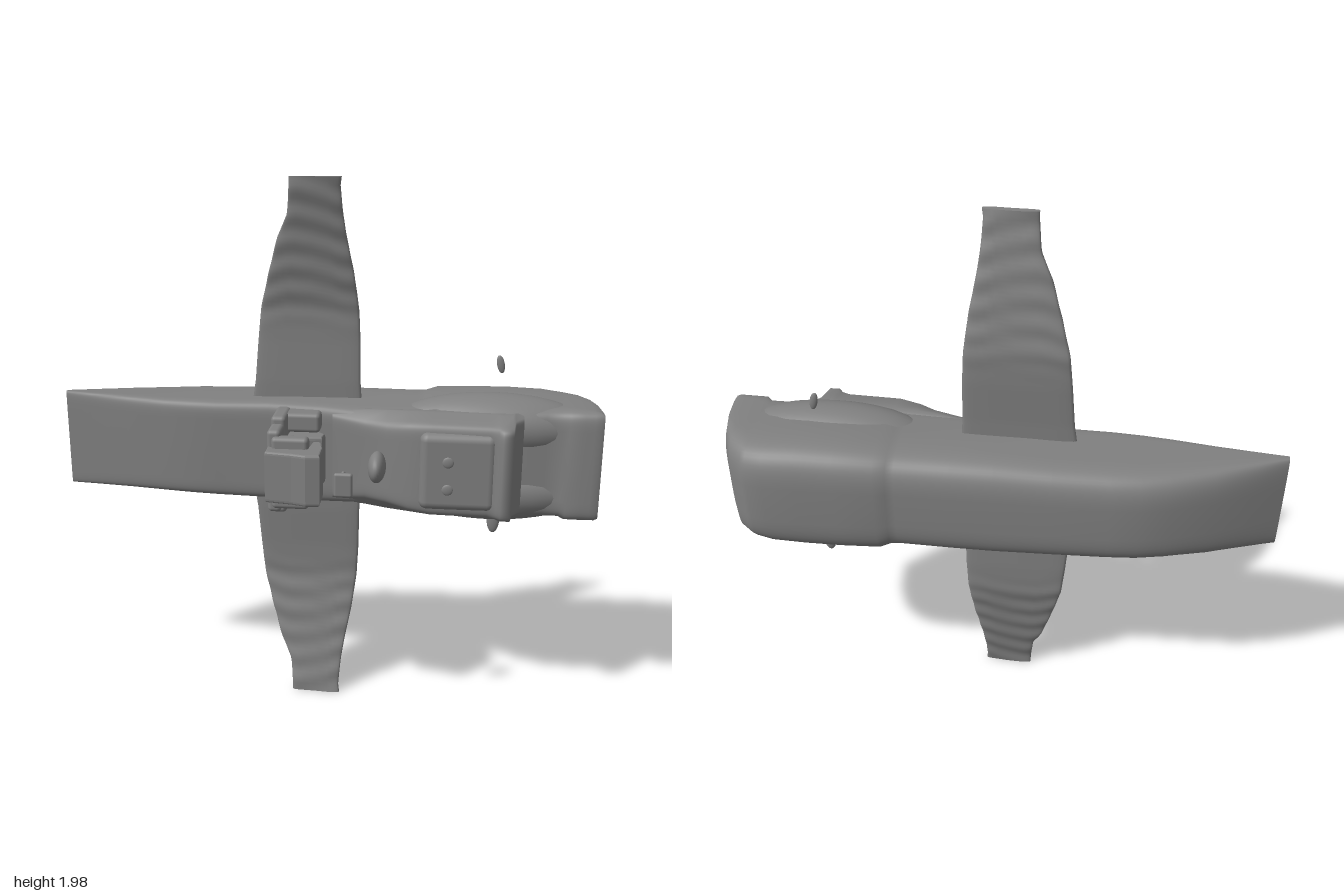
import * as THREE from 'three';
import { RoundedBoxGeometry } from 'three/addons/geometries/RoundedBoxGeometry.js';

const grey = new THREE.MeshStandardMaterial({ color: 0x808080 });

// Skin a list of rings (equal point counts) and close both ends.
function loft(rings) {
  const n = rings[0].length, pos = [], idx = [];
  rings.forEach(r => r.forEach(p => pos.push(...p)));
  for (let i = 0; i < rings.length - 1; i++) {
    for (let j = 0; j < n; j++) {
      const a = i * n + j, b = i * n + (j + 1) % n;
      idx.push(a, b, a + n, b, b + n, a + n);
    }
  }
  [rings[0], rings[rings.length - 1]].forEach((r, end) => {
    const base = pos.length / 3;
    r.forEach(p => pos.push(...p));
    pos.push(...[0, 1, 2].map(k => r.reduce((s, p) => s + p[k], 0) / n));
    for (let j = 0; j < n; j++) {
      const a = base + j, b = base + (j + 1) % n;
      idx.push(...(end ? [a, b, base + n] : [b, a, base + n]));
    }
  });
  const g = new THREE.BufferGeometry();
  g.setAttribute('position', new THREE.Float32BufferAttribute(pos, 3));
  g.setIndex(idx);
  g.computeVertexNormals();
  return g;
}

const spow = (v, e) => Math.sign(v) * Math.pow(Math.abs(v), e);

// Rounded section across x: soft at the back, crisp and slightly narrowed at the front.
function section([x, zb, zf, h, taper = 0], n = 56) {
  return Array.from({ length: n }, (_, j) => {
    const a = j / n * Math.PI * 2, s = Math.sin(a), e = s > 0 ? 0.2 : 0.5;
    const v = spow(s, e);
    return [x, 1 + h * spow(Math.cos(a), e) * (1 - taper * Math.max(0, v)), (zb + zf) / 2 + v * (zf - zb) / 2];
  });
}

// Tapered fin, bent forward, with curved ripples towards its tip; dir is +1 up, -1 down.
function fin(dir) {
  const keys = [ // height from the axis, x min, x max, z
    [0.1, -0.285, 0.14, -0.1], [0.25, -0.262, 0.13, -0.1], [0.4, -0.25, 0.128, -0.105],
    [0.52, -0.238, 0.122, -0.105], [0.65, -0.205, 0.105, -0.083], [0.78, -0.168, 0.08, -0.06],
    [0.86, -0.13, 0.068, -0.043], [0.96, -0.12, 0.06, -0.022], [0.99, -0.12, 0.065, -0.018]];
  const rings = [], rows = 60;
  for (let i = 0; i <= rows; i++) {
    const d = 0.1 + 0.89 * i / rows;
    let k = 0;
    while (k < keys.length - 2 && d > keys[k + 1][0]) k++;
    const t = (d - keys[k][0]) / (keys[k + 1][0] - keys[k][0]);
    const [x0, x1, z] = [1, 2, 3].map(m => THREE.MathUtils.lerp(keys[k][m], keys[k + 1][m], t));
    const depth = 0.003 * THREE.MathUtils.smoothstep(d, 0.4, 0.6);
    rings.push(Array.from({ length: 28 }, (_, j) => {
      const a = j / 28 * Math.PI * 2;
      const x = (x0 + x1) / 2 + (x1 - x0) / 2 * spow(Math.sin(a), 0.5);
      const ripple = depth * Math.sin(d * 70 + 1.8 * Math.sin(x * 16));
      return [x, 1 + dir * d, z + ripple + 0.012 * spow(Math.cos(a), 0.5)];
    }));
  }
  return loft(dir > 0 ? rings : rings.reverse());
}

export function createModel() {
  const model = new THREE.Group();
  const add = (name, geo, x = 0, y = 0, z = 0) => {
    const m = new THREE.Mesh(geo, grey);
    m.name = name;
    m.position.set(x, y, z);
    model.add(m);
  };
  const box = (name, x0, x1, y0, y1, z0, z1, r = 0.015) => add(name,
    new RoundedBoxGeometry(x1 - x0, y1 - y0, z1 - z0, 3, r), (x0 + x1) / 2, (y0 + y1) / 2, (z0 + z1) / 2);
  const blob = (name, x, y, z, rx, ry, rz, tilt = 0) =>
    add(name, new THREE.SphereGeometry(1, 28, 18).scale(rx, ry, rz).rotateZ(tilt), x, y, z);

  // Hull: wedge tail, straight middle, collar and fuller head (x, back z, front z, half height, taper)
  add('hull', loft([
    [-1, -0.13, -0.1, 0.184], [-0.9, -0.18, -0.08, 0.184], [-0.75, -0.25, -0.05, 0.183],
    [-0.6, -0.3, -0.02, 0.183], [-0.5, -0.322, -0.008, 0.185], [-0.4, -0.33, 0, 0.186],
    [-0.2, -0.333, 0, 0.19], [0, -0.333, 0.02, 0.197, 0.05], [0.15, -0.333, 0.04, 0.198, 0.1],
    [0.34, -0.33, 0.06, 0.198, 0.1], [0.37, -0.332, 0.06, 0.2, 0.1], [0.41, -0.348, 0.06, 0.211, 0.1],
    [0.55, -0.35, 0.06, 0.216, 0.1], [0.68, -0.35, 0.065, 0.217, 0.1], [0.8, -0.348, 0.05, 0.212, 0.06],
    [0.86, -0.335, 0.05, 0.206, 0.03], [0.88, -0.325, 0.067, 0.206], [0.93, -0.28, 0.068, 0.205],
    [0.965, -0.21, 0.068, 0.203], [0.985, -0.12, 0.066, 0.2], [0.997, -0.02, 0.06, 0.192],
  ].map(s => section(s))));

  // Fins above and below
  add('upperFin', fin(1));
  add('lowerFin', fin(-1));

  // Gentle swellings along the head's sides
  for (const s of [1, -1]) blob('headSwelling', 0.61, 1 + s * 0.12, -0.05, 0.36, 0.117, 0.13);

  // Raised front housing with a ridge at its end
  add('frontHousing', loft([
    [0.04, -0.02, 0.03, 0.17, 0.1], [0.16, -0.02, 0.06, 0.18, 0.25], [0.24, -0.02, 0.1, 0.185, 0.25],
    [0.32, -0.02, 0.135, 0.188, 0.18], [0.4, -0.02, 0.155, 0.19, 0.14], [0.6, -0.02, 0.165, 0.19, 0.14],
    [0.63, -0.02, 0.18, 0.19, 0.14], [0.645, -0.02, 0.203, 0.19, 0.14], [0.68, -0.02, 0.203, 0.19, 0.14],
    [0.69, -0.02, 0.13, 0.19, 0.12], [0.72, -0.02, 0.08, 0.19, 0.1],
  ].map(s => section(s))));
  box('housingPanel', 0.36, 0.63, 0.86, 1.14, 0.1, 0.178, 0.03);
  for (const y of [0.94, 1.04]) blob('panelStud', 0.46, y, 0.177, 0.02, 0.02, 0.006);

  // Front bracket: an open hook cut through vertically
  const hook = new THREE.Shape([
    [-0.165, -0.02], [-0.06, -0.02], [0.01, 0.05], [0.005, 0.09], [-0.06, 0.1], [-0.1, 0.13],
    [-0.115, 0.17], [-0.1, 0.21], [-0.07, 0.225], [-0.02, 0.22], [-0.01, 0.155], [0.01, 0.155],
    [0.022, 0.22], [0.022, 0.31], [-0.02, 0.315], [-0.07, 0.3], [-0.16, 0.285],
  ].map(p => new THREE.Vector2(...p)));
  add('frontBracket', new THREE.ExtrudeGeometry(hook, {
    depth: 0.16, bevelSize: 0.006, bevelThickness: 0.012, bevelSegments: 3,
  }).rotateX(Math.PI / 2), 0, 1.08, 0);

  // Bracket frame, stepping in towards the front
  box('bracketBack', -0.168, -0.115, 0.815, 1.175, -0.03, 0.14);
  box('bracketRim', -0.168, -0.12, 0.85, 1.15, 0.1, 0.23);
  for (const s of [1, -1]) {
    box('bracketArm', -0.15, 0, 1 + s * 0.135 - 0.035, 1 + s * 0.135 + 0.035, -0.02, 0.075);
    box('bracketShoulder', -0.15, -0.02, 1 + s * 0.1 - 0.03, 1 + s * 0.1 + 0.03, 0.2, 0.25);
  }

  // Small details in front of and beside the hull
  blob('frontKnob', 0.21, 1, 0.13, 0.032, 0.055, 0.075);
  box('floatingPlate', 0.078, 0.142, 0.955, 1.04, 0.322, 0.342, 0.009);
  blob('floatingBead', 0.1, 1, 0.228, 0.008, 0.012, 0.016);
  blob('upperSpur', 0.64, 1.32, -0.155, 0.014, 0.034, 0.008, 0.2);
  blob('lowerSpur', 0.64, 0.715, -0.155, 0.024, 0.055, 0.012);

  return model;
}
